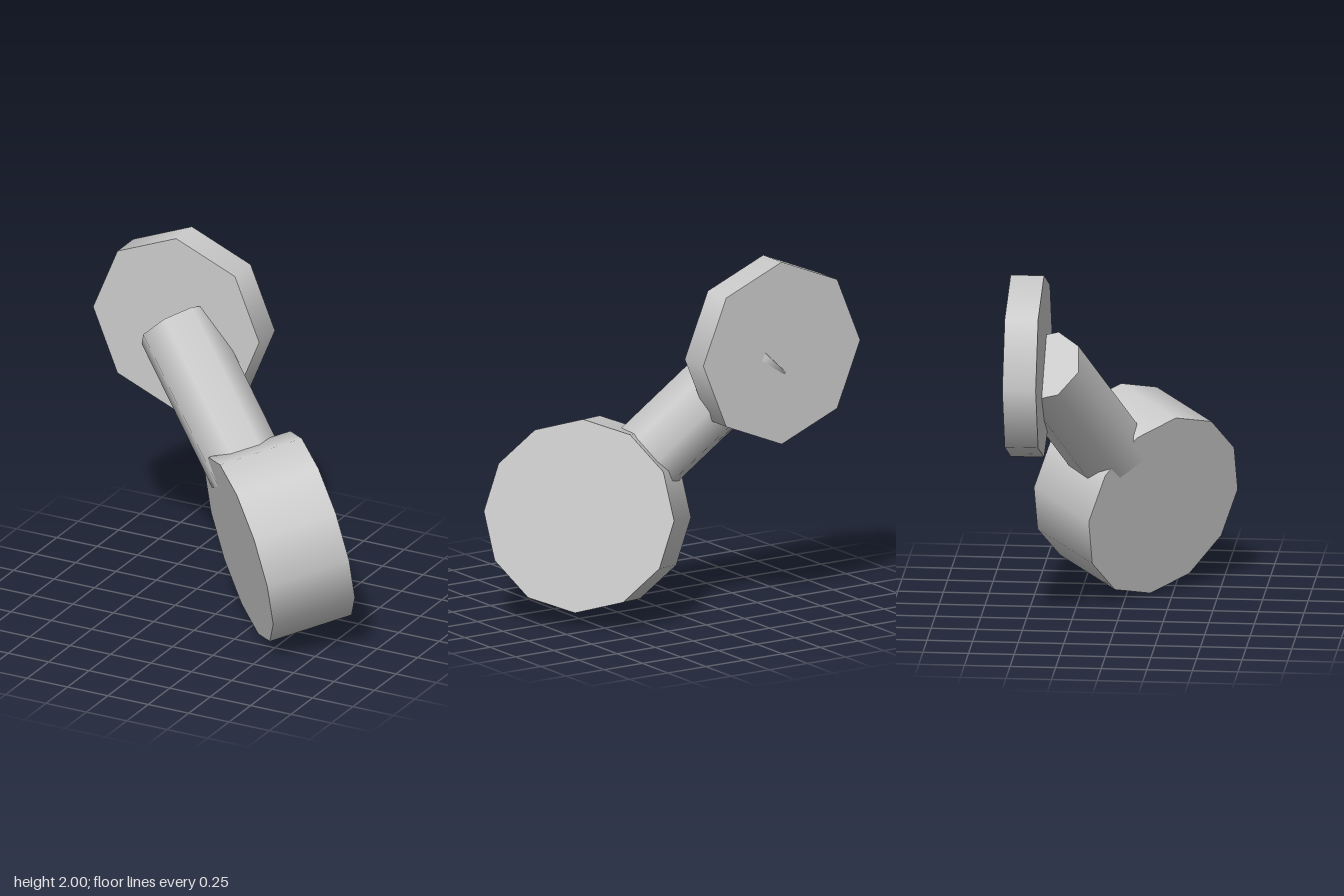
import * as THREE from 'three';

const grey = new THREE.MeshStandardMaterial({ color: 0xcccccc });
grey.name = 'light grey';

// Prism-like cylinder between two points, with one rim corner turned towards `corner`
function rod(name, from, to, radius, sides, corner) {
  const axis = to.clone().sub(from);
  const length = axis.length();
  const y = axis.normalize();
  const z = corner.clone().addScaledVector(y, -corner.dot(y)).normalize();
  const x = y.clone().cross(z);
  const mesh = new THREE.Mesh(new THREE.CylinderGeometry(radius, radius, length, sides), grey);
  mesh.name = name;
  mesh.quaternion.setFromRotationMatrix(new THREE.Matrix4().makeBasis(x, y, z));
  mesh.position.copy(from).add(to).multiplyScalar(0.5);
  return mesh;
}

export function createModel() {
  const v = (x, y, z) => new THREE.Vector3(x, y, z);
  const up = v(0, 1, 0);
  const group = new THREE.Group();
  group.name = 'wallLamp';

  const plateFront = v(-0.45, 1.487, -0.385);
  const headFront = v(0.255, 0.522, 0.205);
  const headBack = v(0.585, 0.62, -0.125);
  const headCentre = headFront.clone().lerp(headBack, 0.5);

  group.add(
    // octagonal mounting plate
    rod('wallPlate', v(-0.45, 1.487, -0.568), plateFront, 0.514, 8, up),
    // slanted arm running into the middle of the head
    rod('arm', plateFront, headCentre, 0.22, 8, v(-0.1, -0.003, 0.203)),
    // twelve-sided tilted head
    rod('head', headBack, headFront, 0.53, 12, up),
  );
  return group;
}
